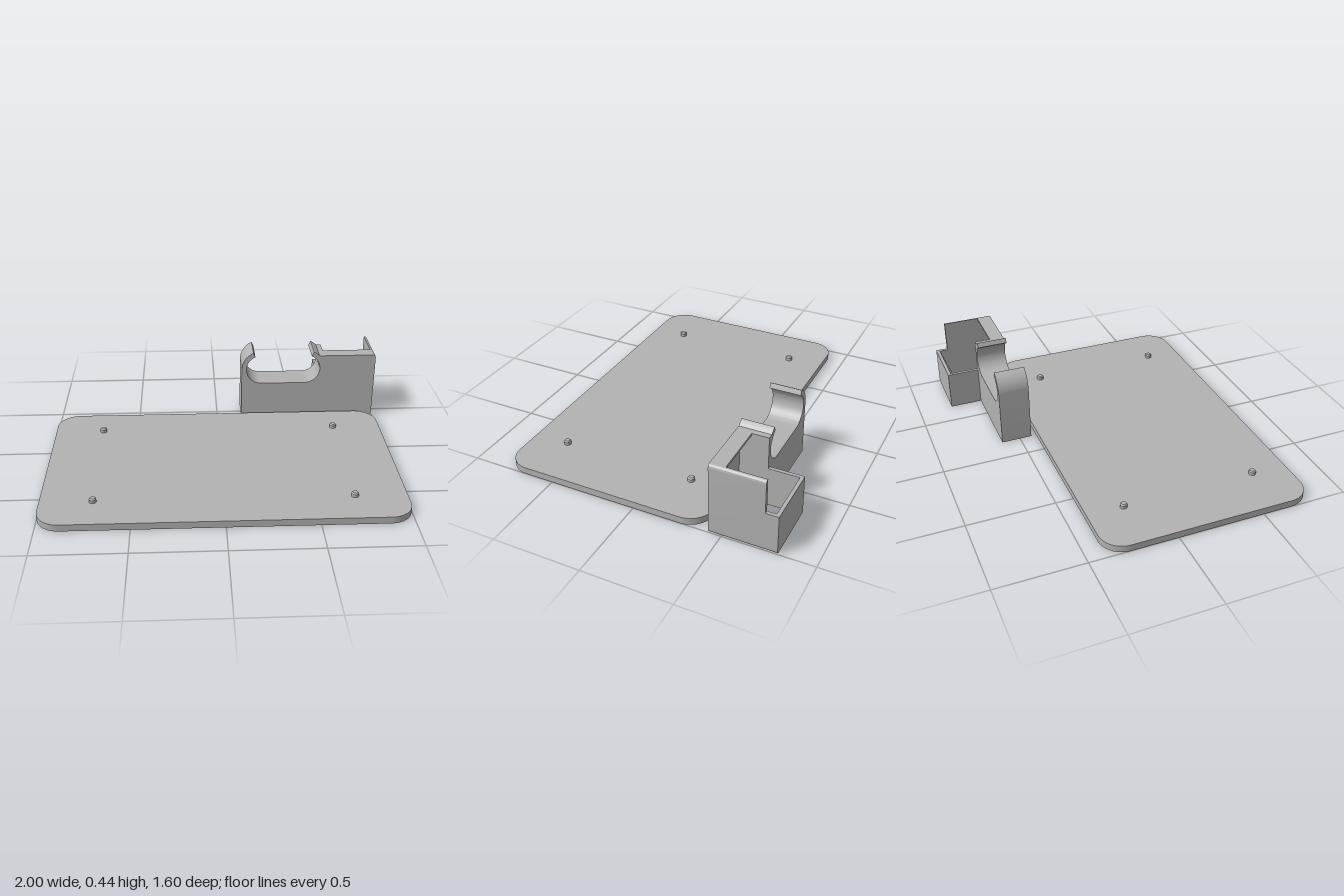
import * as THREE from 'three';
import { toCreasedNormals } from 'three/addons/utils/BufferGeometryUtils.js';

const grey = new THREE.MeshStandardMaterial({ color: 0xb2b2b2 });
grey.name = 'grey plastic';

const deg = THREE.MathUtils.degToRad;

function mesh(name, geometry) {
  const m = new THREE.Mesh(toCreasedNormals(geometry, 0.5), grey);
  m.name = name;
  return m;
}

function extrude(shape, depth) {
  return new THREE.ExtrudeGeometry(shape, { depth, bevelEnabled: false, curveSegments: 16 });
}

// Front profile (x, y) pulled from z0 to z1
function alongZ(name, shape, z0, z1) {
  return mesh(name, extrude(shape, z1 - z0).translate(0, 0, z0));
}

// Side profile (z, y) pulled from x0 to x1
function alongX(name, points, x0, x1) {
  const shape = new THREE.Shape(points.map(([z, y]) => new THREE.Vector2(z, y)));
  return mesh(name, extrude(shape, x1 - x0).rotateY(-Math.PI / 2).translate(x1, 0, 0));
}

// Rectangle with its own radius for the lower and upper right corners
function panel(x0, x1, y1, rLow, rTop, inset = 0) {
  const s = new THREE.Shape();
  s.moveTo(x0, inset);
  s.lineTo(x1 - rLow, inset);
  if (rLow) s.quadraticCurveTo(x1, inset, x1, inset + rLow);
  s.lineTo(x1, y1 - rTop);
  if (rTop) s.quadraticCurveTo(x1, y1, x1 - rTop, y1);
  s.lineTo(x0, y1);
  s.closePath();
  return s;
}

function createPlate() {
  const group = new THREE.Group();
  group.name = 'basePlate';
  // Rounded slab
  const r = 0.13, x = 1 - r, top = 0.4 - r, bottom = -0.8 + r;
  const s = new THREE.Shape();
  s.absarc(x, bottom, r, deg(-90), 0);
  s.absarc(x, top, r, 0, deg(90));
  s.absarc(-x, top, r, deg(90), deg(180));
  s.absarc(-x, bottom, r, deg(180), deg(270));
  s.closePath();
  group.add(mesh('slab', extrude(s, 0.04).rotateX(-Math.PI / 2)));
  // Four locating pegs with softened tops
  const profile = [[0.02, 0.03], [0.02, 0.058], [0.014, 0.065], [0, 0.065]]
    .map(([px, py]) => new THREE.Vector2(px, py));
  for (const px of [-0.71, 0.71]) {
    for (const pz of [-0.19, 0.59]) {
      const peg = mesh('peg', new THREE.LatheGeometry(profile, 24));
      peg.position.set(px, 0, pz);
      group.add(peg);
    }
  }
  return group;
}

function createHolder() {
  const group = new THREE.Group();
  group.name = 'holder';

  // Cradle block with a slot and two curled lips
  const cy = 0.33, left = 0.28, right = 0.555, inner = 0.095, outer = 0.125;
  const s = new THREE.Shape();
  s.moveTo(0.155, 0);
  s.lineTo(0.675, 0);
  s.lineTo(0.675, 0.418);
  s.absarc(right, cy, outer, deg(45), deg(65), false);
  s.absarc(right, cy, inner, deg(65), deg(-90), true);
  s.absarc(left, cy, inner, deg(270), deg(115), true);
  s.absarc(left, cy, outer, deg(115), deg(180), false);
  s.closePath();
  group.add(alongZ('cradle', s, -0.61, -0.43));

  // Socket: front wall with overhanging lip
  group.add(alongZ('socketFrontWall', panel(0.675, 0.98, 0.418, 0, 0), -0.45, -0.43));
  group.add(alongX('socketLip',
    [[-0.45, 0.35], [-0.45, 0.418], [-0.515, 0.418], [-0.515, 0.405]], 0.675, 0.98));

  // Outer side wall, tall in front and low behind
  group.add(alongZ('socketSideWallTall', panel(0.98, 1, 0.418, 0.02, 0.02), -0.73, -0.43));
  group.add(alongZ('socketSideWallLow', panel(0.98, 1, 0.23, 0.02, 0), -0.8, -0.73));
  // Inner side wall
  group.add(alongZ('socketInnerWall', panel(0.655, 0.675, 0.23, 0, 0), -0.8, -0.61));
  // Rear wall thickening toward its foot
  group.add(alongX('socketRearWall',
    [[-0.8, 0], [-0.7, 0], [-0.78, 0.23], [-0.8, 0.23]], 0.675, 0.98));
  return group;
}

export function createModel() {
  const model = new THREE.Group();
  model.name = 'plateAndHolder';
  model.add(createPlate(), createHolder());
  return model;
}
